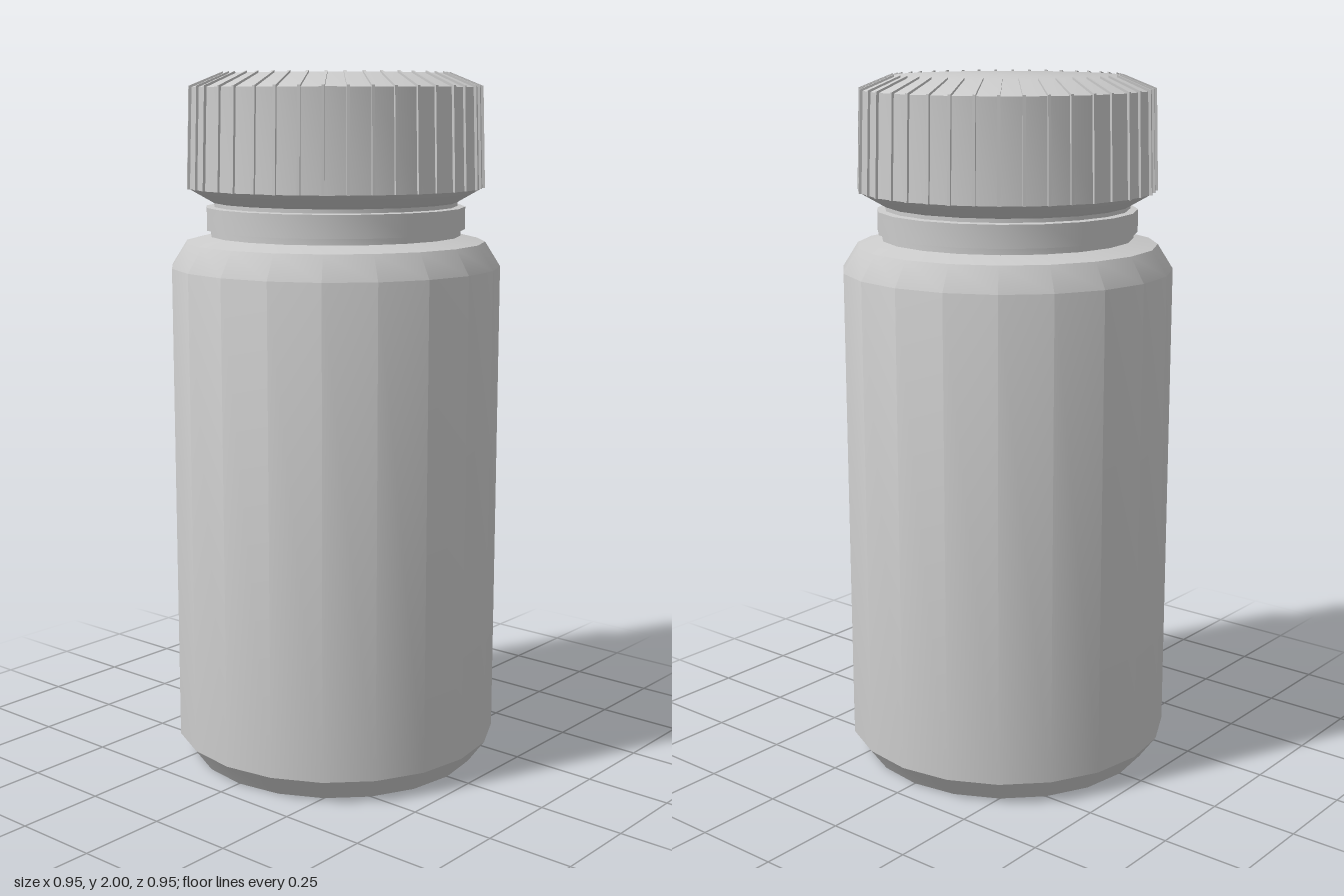
import * as THREE from 'three';
import { toCreasedNormals } from 'three/addons/utils/BufferGeometryUtils.js';

const SIDES = 20;
const RIBS = 40;

export function createModel() {
  const group = new THREE.Group();
  const material = new THREE.MeshStandardMaterial({ color: 0xcccccc });

  // Turned part: smooth around, sharp at the strong profile corners
  function turned(name, profile) {
    const points = profile.map(([r, y]) => new THREE.Vector2(r, y));
    const geometry = toCreasedNormals(new THREE.LatheGeometry(points, SIDES), 0.62);
    const mesh = new THREE.Mesh(geometry, material);
    mesh.name = name;
    group.add(mesh);
  }

  // Bottle with chamfered base, sloped shoulder and neck ring
  turned('bottle', [
    [0, 0], [0.425, 0], [0.474, 0.067], [0.474, 1.455], [0.43, 1.525],
    [0.36, 1.542], [0.36, 1.56], [0.372, 1.56], [0.372, 1.624],
    [0.35, 1.626], [0.35, 1.66], [0, 1.66],
  ]);

  // Cap with a tapered skirt and bevelled top
  turned('cap', [
    [0, 1.637], [0.35, 1.637], [0.42, 1.677], [0.411, 1.957], [0.318, 1.996], [0, 1.996],
  ]);

  // Grip ribs running up the skirt and over the bevel
  const ribShape = new THREE.Shape([
    [0.40, 1.677], [0.427, 1.677], [0.418, 1.961], [0.322, 2], [0.322, 1.98], [0.40, 1.94],
  ].map(([r, y]) => new THREE.Vector2(r, y)));
  const width = 0.008;
  const ribGeometry = new THREE.ExtrudeGeometry(ribShape, { depth: width, bevelEnabled: false });
  ribGeometry.translate(0, 0, -width / 2);

  const ribs = new THREE.Group();
  ribs.name = 'capRibs';
  for (let i = 0; i < RIBS; i++) {
    const rib = new THREE.Mesh(ribGeometry, material);
    rib.name = 'capRib';
    rib.rotation.y = (i / RIBS) * Math.PI * 2;
    // Every other rib sits on the middle of a flat side, slightly closer in
    const inset = i % 2 ? Math.cos(Math.PI / SIDES) : 1;
    rib.scale.x = inset;
    ribs.add(rib);
  }
  group.add(ribs);

  return group;
}
